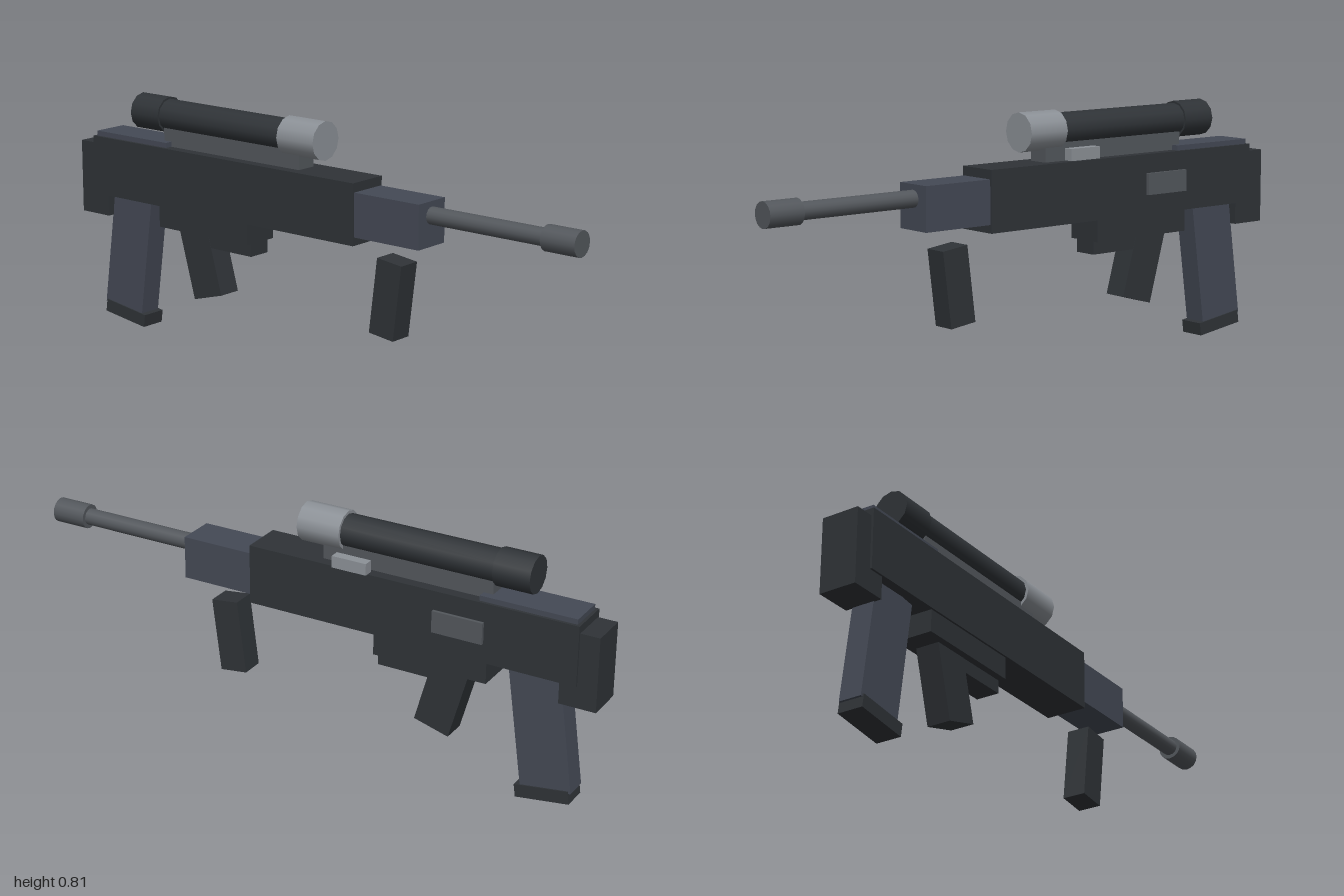
import * as THREE from 'three';

const CX = -0.011; // centre plane of the main parts

export function createModel() {
  const group = new THREE.Group();
  const paint = (color) => new THREE.MeshStandardMaterial({ color });
  const dark = paint(0x2f3337);
  const slate = paint(0x444955);
  const steel = paint(0x53575c);
  const pale = paint(0x8c9197);

  const add = (name, geometry, material) => {
    const mesh = new THREE.Mesh(geometry, material);
    mesh.name = name;
    group.add(mesh);
    return mesh;
  };

  // Upright box given by its limits on each axis
  const box = (name, material, [x0, x1], [y0, y1], [z0, z1]) =>
    add(name, new THREE.BoxGeometry(x1 - x0, y1 - y0, z1 - z0), material)
      .position.set((x0 + x1) / 2, (y0 + y1) / 2, (z0 + z1) / 2);
  const wide = (w) => [CX - w / 2, CX + w / 2];

  // Leaning box whose axis runs between two [z, y] points
  const slanted = (name, material, width, depth, bottom, top) => {
    const dz = top[0] - bottom[0], dy = top[1] - bottom[1];
    const mesh = add(name, new THREE.BoxGeometry(width, Math.hypot(dz, dy), depth), material);
    mesh.position.set(CX, (bottom[1] + top[1]) / 2, (bottom[0] + top[0]) / 2);
    mesh.rotation.x = Math.atan2(dz, dy);
  };

  // Cylinder lying along z
  const tube = (name, material, radius, y, z0, z1, sides) => {
    const mesh = add(name, new THREE.CylinderGeometry(radius, radius, z1 - z0, sides), material);
    mesh.rotation.x = Math.PI / 2;
    mesh.position.set(CX, y, (z0 + z1) / 2);
  };

  // Main body
  box('body', dark, wide(0.142), [0.45, 0.65], [-0.935, 0.205]);
  box('foreEnd', slate, wide(0.13), [0.477, 0.62], [0.2, 0.456]);
  box('buttPlate', dark, wide(0.128), [0.377, 0.625], [-1, -0.877]);
  box('topPlate', slate, wide(0.122), [0.64, 0.667], [-0.925, -0.603]);
  box('sidePanel', steel, [0.05, 0.071], [0.515, 0.587], [-0.625, -0.453]);

  // Underside
  box('lowerHousing', dark, wide(0.128), [0.377, 0.46], [-0.635, -0.243]);
  box('lowerStrip', dark, wide(0.08), [0.333, 0.38], [-0.46, -0.247]);

  // Barrel
  tube('barrel', steel, 0.028, 0.575, 0.45, 0.89, 16);
  tube('muzzle', steel, 0.041, 0.575, 0.88, 1, 16);

  // Scope and its mount
  box('scopeMount', steel, wide(0.07), [0.64, 0.714], [-0.635, -0.045]);
  tube('scopeTube', dark, 0.054, 0.749, -0.65, -0.1, 12);
  tube('scopeFront', pale, 0.064, 0.749, -0.115, 0.035, 12);
  tube('scopeRear', dark, 0.061, 0.749, -0.764, -0.64, 12);
  box('sideKnob', pale, [0.047, 0.08], [0.655, 0.694], [-0.228, -0.107]);

  // Grips and magazine, all leaning
  slanted('foreGrip', dark, 0.079, 0.096, [0.293, 0.166], [0.324, 0.413]);
  slanted('magazine', dark, 0.082, 0.125, [-0.44, 0.161], [-0.507, 0.4]);
  slanted('rearGrip', slate, 0.078, 0.172, [-0.839, 0.05], [-0.783, 0.455]);
  slanted('gripBase', dark, 0.087, 0.183, [-0.831, 0.014], [-0.825, 0.057]);

  return group;
}
